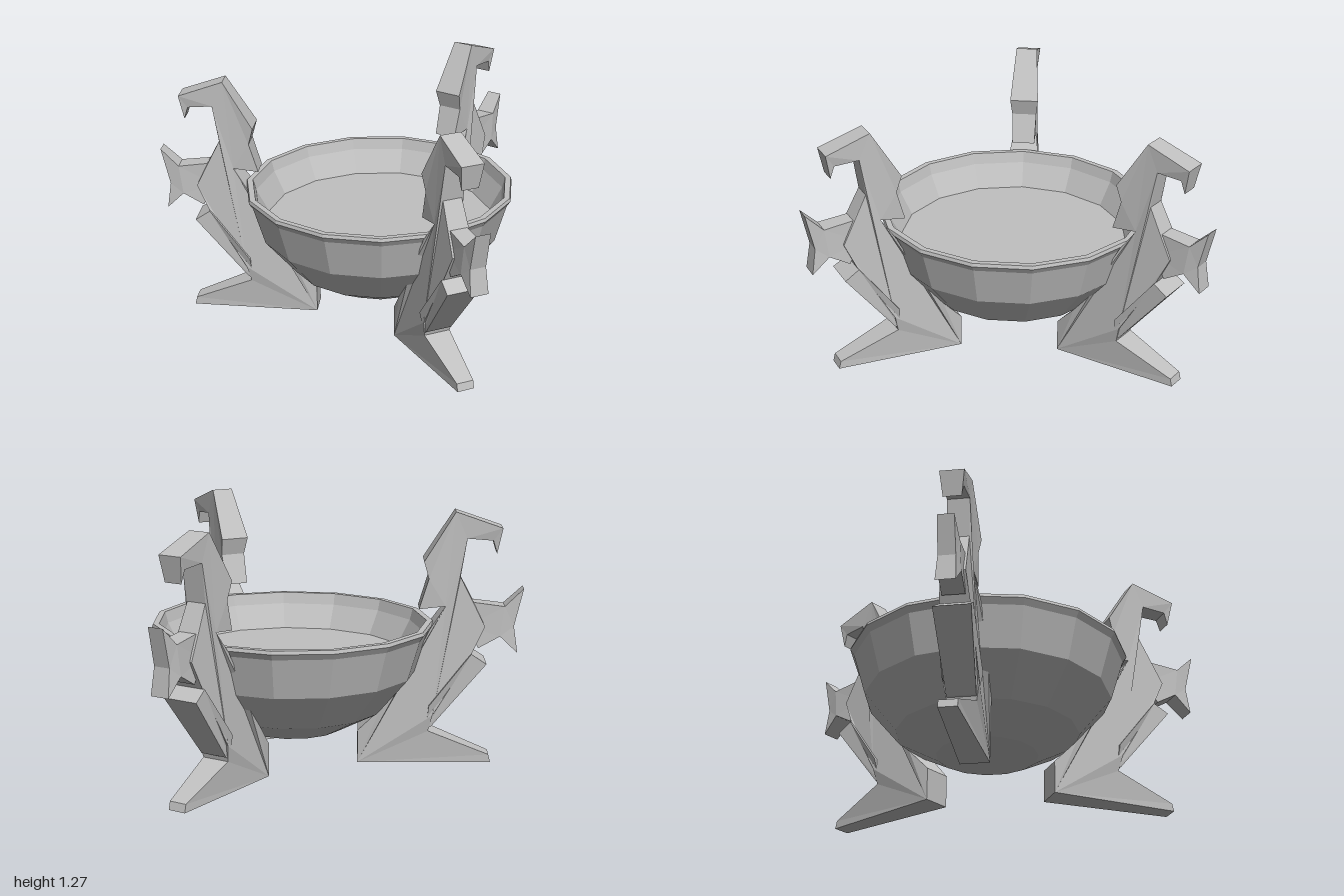
import * as THREE from 'three';

const stone = new THREE.MeshStandardMaterial({ color: 0xc0c0c0 });
stone.name = 'grey stone';

// Faceted normals
function faceted(geometry) {
  const g = geometry.index ? geometry.toNonIndexed() : geometry;
  g.computeVertexNormals();
  return g;
}

function part(name, geometry) {
  const mesh = new THREE.Mesh(faceted(geometry), stone);
  mesh.name = name;
  return mesh;
}

// Side outline of [reach, height, halfWidth] points, thickened point by point
function carved(name, outline) {
  const shape = new THREE.Shape(outline.map(([r, y]) => new THREE.Vector2(r, y)));
  const g = new THREE.ExtrudeGeometry(shape, { depth: 1, bevelEnabled: false });
  const p = g.attributes.position;
  for (let i = 0; i < p.count; i++) {
    const x = p.getX(i), y = p.getY(i);
    const near = outline.find(([r, h]) => Math.hypot(r - x, h - y) < 1e-4);
    p.setZ(i, p.getZ(i) > 0.5 ? near[2] : -near[2]);
  }
  g.rotateY(-Math.PI / 2);
  return part(name, g);
}

// Crouching creature that serves as a leg, reaching out along +z
function creature() {
  const leg = new THREE.Group();
  leg.add(carved('bodyAndFoot', [
    // foot
    [0.33, 0, 0.073], [0.996, 0, 0.045], [0.986, 0.04, 0.045], [0.68, 0.166, 0.07],
    // back and throat
    [0.70, 0.25, 0.085], [0.88, 0.55, 0.075], [0.95, 0.70, 0.06],
    [0.89, 0.824, 0.05], [0.825, 0.946, 0.05], [0.854, 1.137, 0.055],
    // hooked snout and crest
    [0.98, 1.127, 0.05], [1.0, 1.063, 0.045], [1.025, 1.19, 0.06], [0.796, 1.268, 0.055],
    // nape and chest
    [0.645, 1.024, 0.075], [0.67, 0.937, 0.065], [0.625, 0.785, 0.06], [0.755, 0.80, 0.06],
    // belly against the bowl
    [0.68, 0.69, 0.08], [0.57, 0.47, 0.1], [0.44, 0.28, 0.095], [0.33, 0.166, 0.073],
  ]));
  leg.add(carved('tailFin', [
    [0.86, 0.70, 0.045], [0.92, 0.59, 0.055], [1.025, 0.65, 0.055], [1.113, 0.566, 0.048],
    [1.093, 0.70, 0.042], [1.137, 0.888, 0.04], [1.045, 0.80, 0.05], [0.88, 0.82, 0.045],
  ]));
  leg.add(carved('backFin', [
    [0.67, 0.18, 0.07], [0.695, 0.19, 0.07], [0.96, 0.517, 0.09],
    [0.885, 0.565, 0.085], [0.68, 0.30, 0.098],
  ]));
  return leg;
}

export function createModel() {
  const model = new THREE.Group();
  model.name = 'footedBowl';
  model.position.z = -0.23;

  // Fifteen-sided bowl: underside, outer wall, rim, inner wall, floor
  const profile = [
    [0, 0.17], [0.255, 0.17], [0.46, 0.28], [0.62, 0.47], [0.68, 0.67], [0.70, 0.70],
    [0.695, 0.717], [0.665, 0.717], [0.65, 0.66], [0.585, 0.54], [0, 0.54],
  ].map(([r, y]) => new THREE.Vector2(r, y));
  model.add(part('bowl', new THREE.LatheGeometry(profile, 15)));

  // Three creatures around the bowl
  ['frontLeg', 'leftLeg', 'rightLeg'].forEach((name, i) => {
    const leg = creature();
    leg.name = name;
    leg.rotation.y = (i * Math.PI * 2) / 3;
    model.add(leg);
  });

  const root = new THREE.Group();
  root.add(model);
  return root;
}
